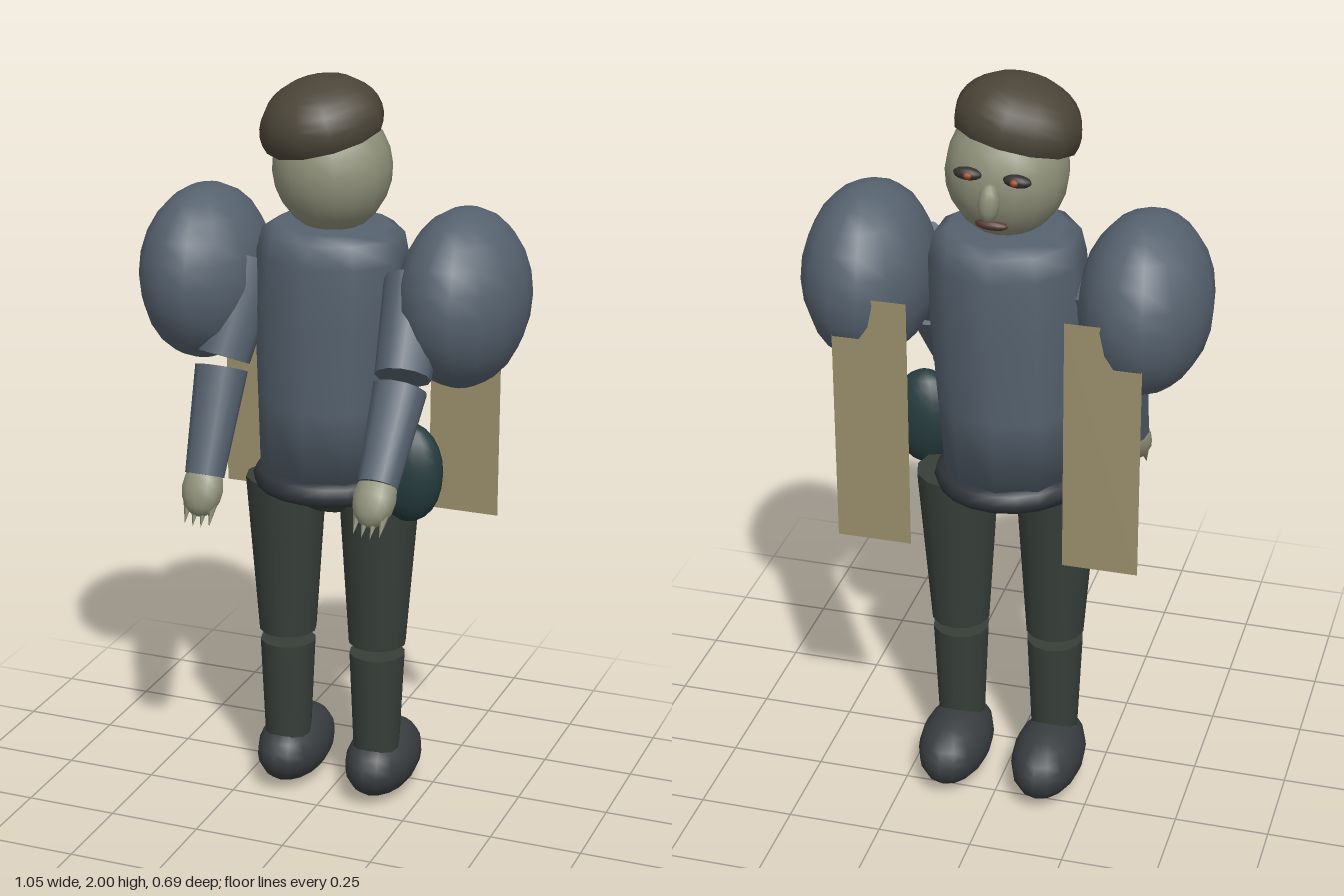
import * as THREE from 'three';

const mat = (color) => new THREE.MeshStandardMaterial({ color, side: THREE.DoubleSide });
const cloth = mat(0x56626f), skin = mat(0x8f917a), trousers = mat(0x373f39), boots = mat(0x393d40),
  belt = mat(0x30353a), hairMat = mat(0x4b4538), strip = mat(0x9a8f6c), teal = mat(0x263b3d),
  dark = mat(0x35302d), red = mat(0xa0492c), lips = mat(0x54352f);

export function createModel() {
  const model = new THREE.Group();
  const V = (x, y, z) => new THREE.Vector3(x, y, z);
  const add = (name, geo, material, x = 0, y = 0, z = 0, parent = model) => {
    const m = new THREE.Mesh(geo, material);
    m.name = name;
    m.position.set(x, y, z);
    parent.add(m);
    return m;
  };
  const blob = (name, material, [x, y, z], [rx, ry, rz], parent = model, w = 16, h = 12) =>
    add(name, new THREE.SphereGeometry(1, w, h).scale(rx, ry, rz), material, x, y, z, parent);
  // Tapered limb running from point a to point b
  const limb = (name, material, a, b, ra, rb, sides = 12) => {
    const m = add(name, new THREE.CylinderGeometry(rb, ra, a.distanceTo(b), sides), material);
    m.position.lerpVectors(a, b, 0.5);
    m.quaternion.setFromUnitVectors(V(0, 1, 0), b.clone().sub(a).normalize());
    return m;
  };

  // Torso, leaning very slightly
  const profile = [[0, 0.95], [0.178, 0.95], [0.188, 1.15], [0.2, 1.38], [0.198, 1.54], [0.185, 1.6], [0.15, 1.62], [0, 1.62]]
    .map(([r, y]) => new THREE.Vector2(r, y - 1.285));
  add('torso', new THREE.LatheGeometry(profile, 10), cloth, -0.008, 1.285, -0.118).rotation.z = -0.025;

  // Belt and hips
  const ring = add('belt', new THREE.TorusGeometry(0.168, 0.033, 8, 20).rotateX(Math.PI / 2), belt, -0.012, 0.927, -0.117);
  ring.rotation.z = -0.02;
  blob('hips', trousers, [0, 0.93, -0.117], [0.15, 0.1, 0.13]);

  // Legs, boots, puffed shoulders and hanging strips
  for (const s of [-1, 1]) {
    const x = s * 0.13;
    limb('thigh', trousers, V(s * 0.133, 0.91, -0.117), V(x, 0.465, -0.117), 0.11, 0.078);
    limb('shin', trousers, V(x, 0.435, -0.116), V(x, 0.12, -0.116), 0.076, 0.062);
    blob('boot', boots, [x, 0.097, -0.175], [0.095, 0.097, 0.17]);
    blob('shoulderPuff', cloth, [s * 0.358, 1.455, -0.118], [0.168, 0.233, 0.235], model, 14, 12);
    add('hangingStrip', new THREE.PlaneGeometry(0.195, 0.68), strip, s * 0.2975, 1.13, -0.325);
  }

  // Arms: shoulder, elbow gap, wrist, then hand with fingers
  const arm = (shoulder, elbow, wrist) => {
    const dir = wrist.clone().sub(elbow).normalize();
    limb('upperArm', cloth, shoulder, elbow.clone().addScaledVector(dir, -0.015), 0.085, 0.072);
    limb('forearm', cloth, elbow.clone().addScaledVector(dir, 0.015), wrist, 0.07, 0.052);
    const hand = new THREE.Group();
    hand.name = 'hand';
    hand.position.copy(wrist).addScaledVector(dir, 0.035);
    hand.quaternion.setFromUnitVectors(V(0, -1, 0), dir);
    model.add(hand);
    blob('palm', skin, [0, 0, 0], [0.057, 0.075, 0.045], hand, 12, 8);
    for (let i = 0; i < 4; i++) {
      const u = i - 1.5;
      add('finger', new THREE.ConeGeometry(0.013, 0.06, 6).rotateX(Math.PI),
        skin, u * 0.023, -0.077 + Math.abs(u) * 0.006, 0, hand);
    }
  };
  arm(V(-0.23, 1.5, -0.117), V(-0.27, 1.24, -0.01), V(-0.272, 0.965, 0.11));
  arm(V(0.25, 1.5, -0.06), V(0.268, 1.28, 0.1), V(0.265, 1.06, 0.258));

  // Side pouch
  blob('pouch', teal, [0.248, 1.0, -0.02], [0.093, 0.135, 0.066]);

  // Head and face, tilted to one side
  const head = new THREE.Group();
  head.name = 'head';
  head.position.set(0, 1.765, -0.11);
  head.rotation.z = 0.06;
  model.add(head);
  blob('skull', skin, [0, 0, 0], [0.155, 0.168, 0.155], head);
  blob('nose', skin, [0, -0.025, -0.165], [0.027, 0.05, 0.03], head, 12, 8);
  for (const s of [-1, 1]) {
    blob('eye', dark, [s * 0.062, 0.035, -0.145], [0.036, 0.016, 0.018], head, 12, 8);
    blob('pupil', red, [s * 0.058, 0.035, -0.16], [0.011, 0.009, 0.008], head, 8, 6);
  }
  blob('mouth', lips, [0, -0.097, -0.128], [0.042, 0.013, 0.016], head, 12, 8);

  // Cap of hair
  const hair = add('hair', new THREE.SphereGeometry(1, 12, 10, 0, Math.PI * 2, 0, Math.PI * 0.6)
    .scale(0.162, 0.122, 0.162), hairMat, -0.022, 1.88, -0.09);
  hair.rotation.set(0.17, 0, 0.2);

  return model;
}
